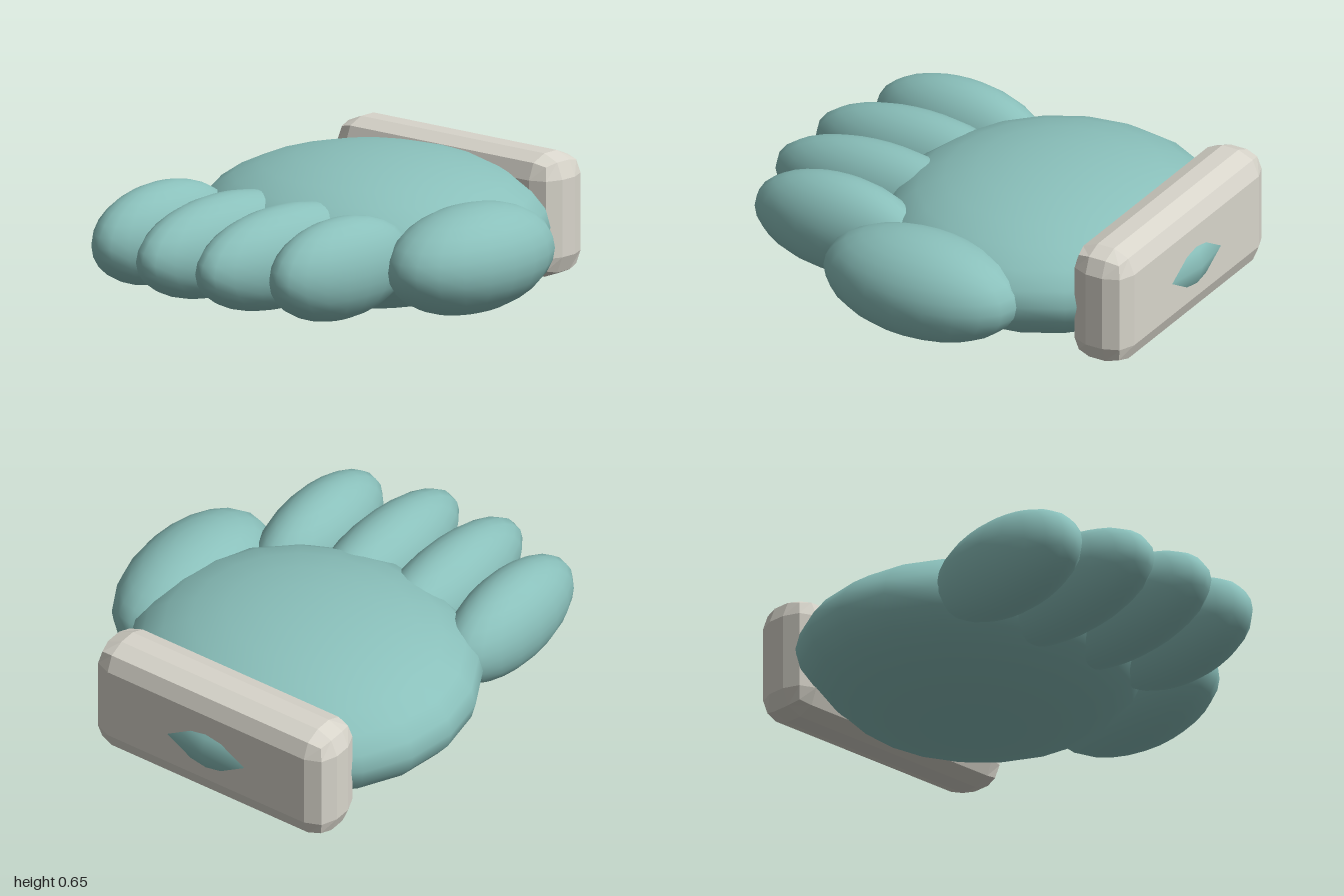
import * as THREE from 'three';
import { RoundedBoxGeometry } from 'three/addons/geometries/RoundedBoxGeometry.js';

export function createModel() {
  const group = new THREE.Group();
  const skin = new THREE.MeshStandardMaterial({ color: 0x8ac0bb });
  skin.name = 'teal skin';
  const band = new THREE.MeshStandardMaterial({ color: 0xd8d5cb, flatShading: true });
  band.name = 'off-white cuff';

  // Rounded lobe: a sphere stretched to the given radii
  function lobe(name, [x, y, z], [rx, ry, rz]) {
    const geometry = new THREE.SphereGeometry(1, 20, 14);
    geometry.scale(rx, ry, rz);
    const mesh = new THREE.Mesh(geometry, skin);
    mesh.name = name;
    mesh.position.set(x, y, z);
    group.add(mesh);
  }

  lobe('palm', [-0.11, 0.328, -0.27], [0.77, 0.325, 0.73]);
  lobe('thumb', [0.62, 0.33, -0.06], [0.253, 0.232, 0.46]);

  // Four fingers, the middle two longer
  [0.41, 0.51, 0.51, 0.41].forEach((length, i) => {
    lobe('finger' + (i + 1), [-0.622 + i * 0.33, 0.347, 0.49], [0.175, 0.218, length]);
  });

  // Wrist cuff with bevelled edges
  const cuff = new THREE.Mesh(new RoundedBoxGeometry(1.22, 0.535, 0.28, 1, 0.1), band);
  cuff.name = 'cuff';
  cuff.position.set(-0.11, 0.347, -0.83);
  group.add(cuff);

  return group;
}
